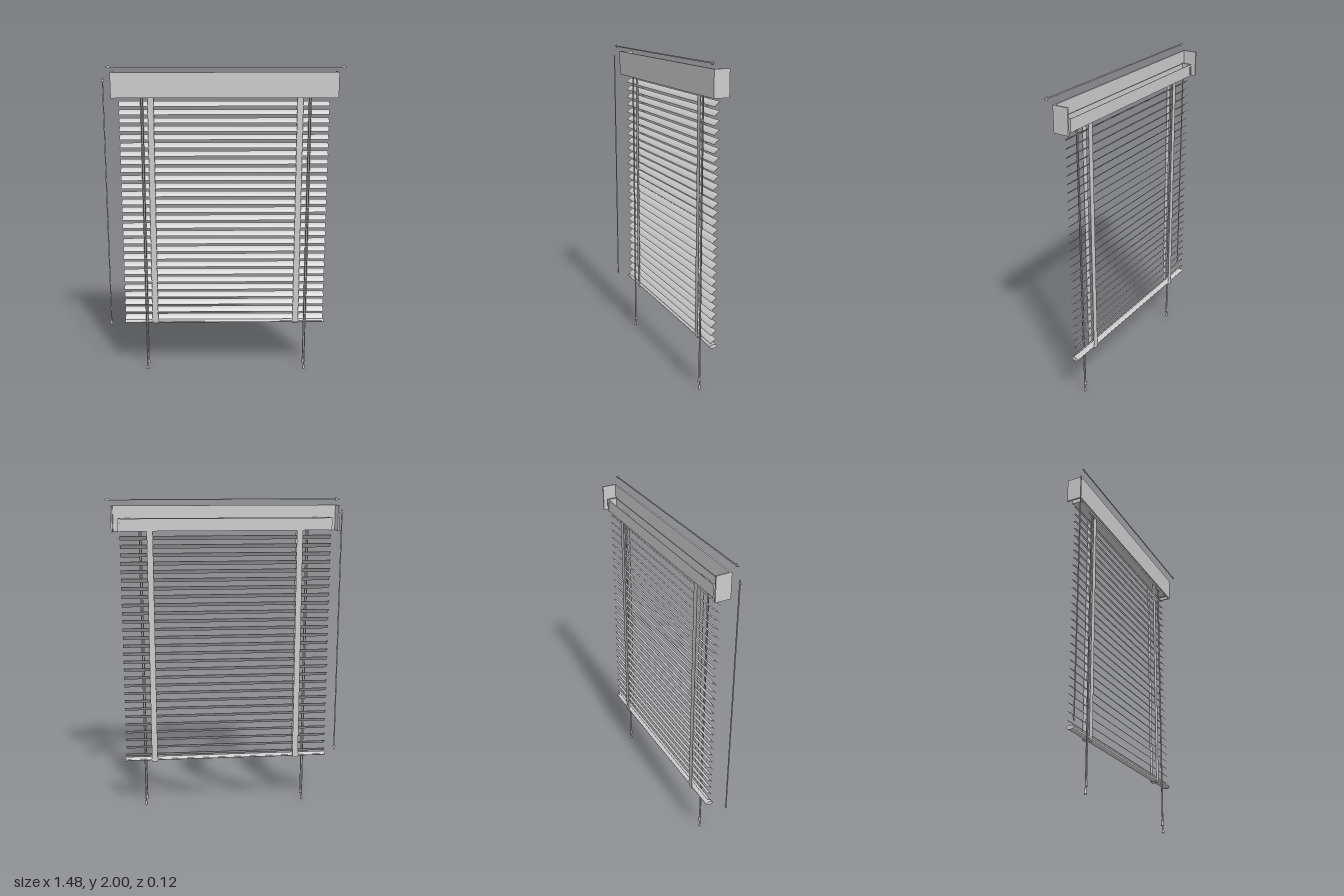
import * as THREE from 'three';
import { toCreasedNormals } from 'three/addons/utils/BufferGeometryUtils.js';

const grey = new THREE.MeshStandardMaterial({ color: 0xcccccc, side: THREE.DoubleSide });

function add(parent, name, geometry, x = 0, y = 0, z = 0) {
  const mesh = new THREE.Mesh(geometry, grey);
  mesh.name = name;
  mesh.position.set(x, y, z);
  parent.add(mesh);
  return mesh;
}

// box given by its limits on each axis
function boxBetween(parent, name, [x0, x1], [y0, y1], [z0, z1]) {
  return add(parent, name, new THREE.BoxGeometry(x1 - x0, y1 - y0, z1 - z0),
    (x0 + x1) / 2, (y0 + y1) / 2, (z0 + z1) / 2);
}

// profile of [z, y] points swept along x, centred
function sweepX(points, length) {
  const shape = new THREE.Shape(points.map(([z, y]) => new THREE.Vector2(-z, y)));
  const g = new THREE.ExtrudeGeometry(shape, { depth: length, bevelEnabled: false });
  g.translate(0, 0, -length / 2).rotateY(Math.PI / 2);
  return toCreasedNormals(g, 0.7);
}

// flat double-headed arrow lying along x
function arrowGeometry(length) {
  const h = length / 2, w = 0.0035, head = 0.026, r = 0.011;
  const shape = new THREE.Shape([
    [-h, 0], [-h + head, -r], [-h + head, -w], [h - head, -w], [h - head, -r],
    [h, 0], [h - head, r], [h - head, w], [-h + head, w], [-h + head, r],
  ].map(([x, y]) => new THREE.Vector2(x, y)));
  return new THREE.ExtrudeGeometry(shape, { depth: 0.005, bevelEnabled: false }).translate(0, 0, -0.0025);
}

// shallow arched slat section, low at the front and high at the back
function slatProfile() {
  const upper = [], lower = [], n = 6;
  for (let i = 0; i <= n; i++) {
    const t = i / n, bow = 0.003 * Math.sin(Math.PI * t);
    const z = 0.001 - 0.034 * t + bow * 0.6, y = -0.014 + 0.027 * t + bow * 0.8;
    upper.push([z, y + 0.0012]);
    lower.unshift([z, y - 0.0004]);
  }
  return upper.concat(lower);
}

export function createModel() {
  const model = new THREE.Group();
  model.name = 'venetianBlind';

  // valance: front board with two returns
  const valance = new THREE.Group();
  valance.name = 'valance';
  model.add(valance);
  boxBetween(valance, 'valanceFront', [-0.693, 0.699], [1.8, 1.955], [0.024, 0.034]);
  boxBetween(valance, 'valanceReturnRight', [-0.693, -0.683], [1.8, 1.955], [-0.061, 0.024]);
  boxBetween(valance, 'valanceReturnLeft', [0.689, 0.699], [1.8, 1.955], [-0.061, 0.024]);

  // open channel head rail with end caps
  const rail = new THREE.Group();
  rail.name = 'headRail';
  model.add(rail);
  const z0 = -0.046, z1 = 0.012, y0 = 1.805, y1 = 1.88, t = 0.003;
  add(rail, 'headRailChannel', sweepX([
    [z0, y0], [z1, y0], [z1, y1], [z1 - t, y1], [z1 - t, y0 + t],
    [z0 + t, y0 + t], [z0 + t, y1], [z0, y1],
  ], 1.298), 0.004);
  boxBetween(rail, 'headRailCapRight', [-0.651, -0.637], [y0 - 0.002, y1 + 0.002], [-0.048, 0.016]);
  boxBetween(rail, 'headRailCapLeft', [0.645, 0.659], [y0 - 0.002, y1 + 0.002], [-0.048, 0.016]);

  // slats
  const slats = new THREE.Group();
  slats.name = 'slats';
  model.add(slats);
  const slat = sweepX(slatProfile(), 1.302);
  for (let i = 0; i < 28; i++) add(slats, 'slat', slat, 0, 1.762 - i * 0.0517, 0);

  // oval bottom rail with end caps
  const oval = (a, b) => Array.from({ length: 20 }, (_, i) => {
    const k = (i / 20) * Math.PI * 2;
    return [a * Math.cos(k), b * Math.sin(k)];
  });
  add(model, 'bottomRail', sweepX(oval(0.023, 0.011), 1.3), 0.002, 0.337, -0.014);
  for (const x of [-0.647, 0.651]) {
    add(model, 'bottomRailCap', sweepX(oval(0.025, 0.013), 0.01), x, 0.337, -0.014);
  }

  // ladder tapes in front of and behind the slats
  for (const x of [-0.453, 0.468]) {
    const tape = new THREE.Group();
    tape.name = 'ladderTape';
    tape.position.x = x;
    model.add(tape);
    const w = [-0.0185, 0.0185];
    boxBetween(tape, 'frontTape', w, [0.325, 1.82], [0.004, 0.006]);
    boxBetween(tape, 'backTape', w, [0.325, 1.82], [-0.038, -0.036]);
    boxBetween(tape, 'tapeUnderRail', w, [0.322, 0.325], [-0.038, 0.006]);
    // tape support inside the head rail
    boxBetween(tape, 'supportBack', [-0.02, 0.02], [1.81, 1.835], [-0.042, -0.028]);
    boxBetween(tape, 'supportFront', [-0.02, 0.02], [1.81, 1.835], [-0.006, 0.005]);
    boxBetween(tape, 'supportBridge', [-0.006, 0.006], [1.81, 1.83], [-0.028, -0.006]);
  }

  // pull cords with tassels
  const tassel = new THREE.LatheGeometry([
    [0, 0], [0.008, 0], [0.0085, 0.007], [0.006, 0.024], [0.0035, 0.036], [0.0045, 0.042], [0, 0.045],
  ].map(([r, y]) => new THREE.Vector2(r, y)), 16);
  for (const [x, side] of [[-0.506, 1], [0.527, -1]]) {
    const cords = new THREE.Group();
    cords.name = 'pullCords';
    cords.position.set(x, 0, 0.011);
    model.add(cords);
    boxBetween(cords, 'cordLock', [-0.015, 0.015], [1.803, 1.835], [-0.013, 0.002]);
    for (const [dx, bottom] of [[0.006 * side, 0.047], [-0.006 * side, 0.002]]) {
      const length = 1.82 - bottom - 0.04;
      add(cords, 'cord', new THREE.CylinderGeometry(0.003, 0.003, length, 8), dx, 1.82 - length / 2, 0);
      add(cords, 'tassel', tassel, dx * 0.7, bottom, 0);
    }
  }

  // width and height arrows
  add(model, 'widthArrow', arrowGeometry(1.456), 0.011, 1.989, 0.056);
  add(model, 'heightArrow', arrowGeometry(1.595), -0.734, 1.13, 0.056).rotation.z = Math.PI / 2;

  return model;
}
